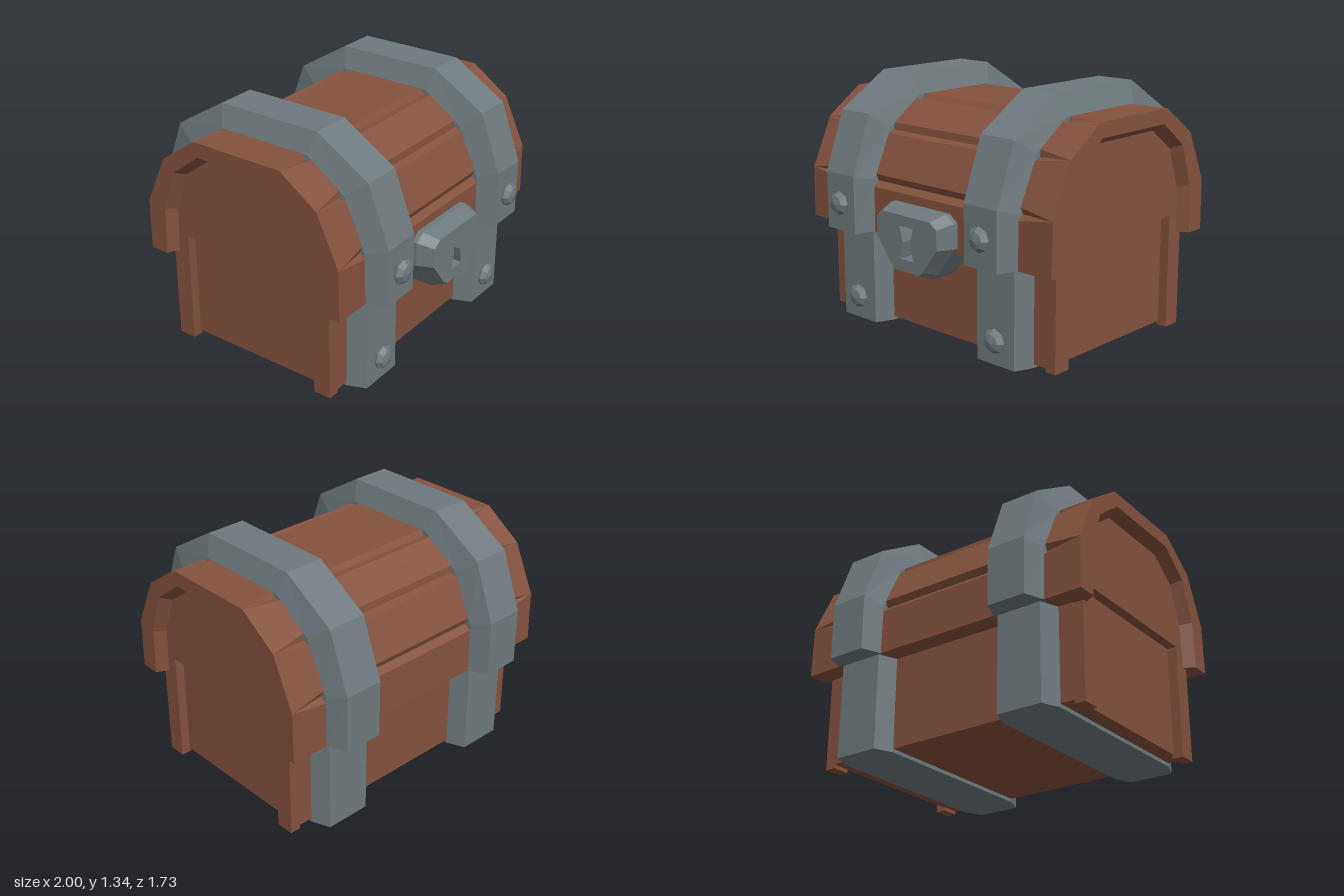
import * as THREE from 'three';

const wood = new THREE.MeshStandardMaterial({ color: 0x85523f });
wood.name = 'wood';
const metal = new THREE.MeshStandardMaterial({ color: 0x6f7a7e });
metal.name = 'iron';

// Half profiles as [z, y], from the front foot up to the crown
const LID = [[0.615, 0.52], [0.61, 0.8], [0.485, 1.07], [0.27, 1.22]];
const MOUTH = [[0.51, 0.52], [0.5, 0.78], [0.42, 1.01], [0.25, 1.14]];
const RECESS = [[0.475, 0.52], [0.465, 0.77], [0.39, 0.985], [0.235, 1.1]];
const STRAP = [[0.72, 0.52], [0.72, 0.83], [0.6, 1.15], [0.3, 1.335]];

// Full arch from a half profile; every corner becomes three points, split by a groove of width w
function arch(half, w = 0) {
  const mirror = half.map(([z, y]) => [-z, y]).reverse();
  const all = [...half, ...mirror];
  const toward = (a, b, d) => {
    const l = Math.hypot(b[0] - a[0], b[1] - a[1]);
    return [a[0] + (b[0] - a[0]) * d / l, a[1] + (b[1] - a[1]) * d / l];
  };
  return all.flatMap((p, i) => i === 0 || i === all.length - 1 ? [p]
    : [toward(p, all[i - 1], w), toward(p, [0, 0.7], w * 0.9), toward(p, all[i + 1], w)]);
}

// Arched shell: sections of [x, outer arch, inner arch] joined along x, with capped ends
function shell(sections) {
  const loops = sections.map(([x, outer, inner]) =>
    [...outer, ...[...inner].reverse()].map(([z, y]) => [x, y, z]));
  const pos = [];
  const quad = (a, b, c, d) => pos.push(...a, ...b, ...c, ...a, ...c, ...d);
  const m = loops[0].length;
  for (let k = 0; k < loops.length - 1; k++) {
    for (let i = 0; i < m; i++) {
      const j = (i + 1) % m;
      quad(loops[k][i], loops[k + 1][i], loops[k + 1][j], loops[k][j]);
    }
  }
  const first = loops[0], last = loops[loops.length - 1];
  for (let i = 0; i < m / 2 - 1; i++) {
    quad(first[i], first[i + 1], first[m - 2 - i], first[m - 1 - i]);
    quad(last[i], last[m - 1 - i], last[m - 2 - i], last[i + 1]);
  }
  const g = new THREE.BufferGeometry();
  g.setAttribute('position', new THREE.Float32BufferAttribute(pos, 3));
  g.computeVertexNormals();
  return g;
}

const shapeOf = pts => new THREE.Shape(pts.map(([x, y]) => new THREE.Vector2(x, y)));
const extrude = (shape, depth) => new THREE.ExtrudeGeometry(shape, { depth, bevelEnabled: false });

export function createModel() {
  const model = new THREE.Group();
  model.name = 'treasureChest';
  const chest = new THREE.Group();
  chest.name = 'chest';
  chest.rotation.y = 0.252;
  chest.position.z = -0.01;
  model.add(chest);

  const add = (name, geo, mat, x = 0, y = 0, z = 0) => {
    const mesh = new THREE.Mesh(geo, mat);
    mesh.name = name;
    mesh.position.set(x, y, z);
    chest.add(mesh);
    return mesh;
  };

  // Box body
  add('body', new THREE.BoxGeometry(1.52, 0.66, 1.02), wood, 0, 0.35, 0);

  // End frames: two corner posts below and the arched panel above, around a sunken panel
  const side = [[0.41, 0.62], [0.41, 0], [0.51, 0], [0.51, 0.515], [0.48, 0.53], [0.47, 0.775], [0.395, 0.99], [0.24, 1.105]];
  const frame = extrude(shapeOf([...side, ...side.map(([z, y]) => [-z, y]).reverse()]), 0.06);
  for (const s of [-1, 1]) {
    const end = add(s > 0 ? 'leftEndFrame' : 'rightEndFrame', frame, wood, s * 0.752, 0, 0);
    end.rotation.y = s * Math.PI / 2;
  }

  // Planked lid: grooves fade out towards the ends, which are hollowed with a sloped rim
  const plain = arch(LID), grooved = arch(LID, 0.035), mouth = arch(MOUTH), recess = arch(RECESS);
  add('lid', shell([
    [-0.872, plain, mouth], [-0.81, arch(LID, 0.01), recess], [-0.65, grooved, recess],
    [0.65, grooved, recess], [0.81, arch(LID, 0.01), recess], [0.872, plain, mouth],
  ]), wood);

  // Iron straps over the lid and around the body, with rivets on the front
  const band = arch(STRAP);
  const lidStrap = shell([
    [-0.148, plain, mouth], [-0.108, band, mouth], [0.108, band, mouth], [0.148, plain, mouth],
  ]);
  const bodyStrap = extrude(shapeOf([
    [-0.125, -0.61], [0.125, -0.61], [0.165, -0.51], [0.165, 0.51],
    [0.125, 0.61], [-0.125, 0.61], [-0.165, 0.51], [-0.165, -0.51],
  ]), 0.525).rotateX(-Math.PI / 2);
  const rivet = new THREE.LatheGeometry(
    [[0.05, -0.02], [0.066, 0.012], [0.045, 0.038], [0, 0.048]].map(p => new THREE.Vector2(...p)), 8,
  ).rotateX(Math.PI / 2).toNonIndexed();
  rivet.computeVertexNormals();
  for (const s of [-1, 1]) {
    const label = s > 0 ? 'left' : 'right';
    add(label + 'LidStrap', lidStrap, metal, s * 0.514, 0, 0);
    add(label + 'BodyStrap', bodyStrap, metal, s * 0.51, 0, 0);
    add(label + 'UpperRivet', rivet, metal, s * 0.514, 0.672, 0.72);
    add(label + 'LowerRivet', rivet, metal, s * 0.51, 0.128, 0.61);
  }

  // Lock: a solid back and a tapered front plate pierced by the keyhole
  const half = [[0.1, 0.36], [0.14, 0.39], [0.255, 0.55], [0.255, 0.68], [0.2, 0.72]];
  const outline = [...half, ...half.map(([x, y]) => [-x, y]).reverse()];
  add('lockBack', extrude(shapeOf(outline), 0.14), metal, 0, 0, 0.5);
  const face = shapeOf(outline);
  face.holes.push(shapeOf([
    [-0.05, 0.635], [0.05, 0.635], [0.028, 0.55], [0.05, 0.46], [-0.05, 0.46], [-0.028, 0.55],
  ]));
  const plate = extrude(face, 0.085);
  const p = plate.attributes.position;
  for (let i = 0; i < p.count; i++) {
    const x = p.getX(i), y = p.getY(i);
    const keyhole = Math.abs(x) < 0.06 && y > 0.45 && y < 0.65;
    if (p.getZ(i) > 0.05 && !keyhole) p.setXY(i, x * 0.86, 0.56 + (y - 0.56) * 0.82);
  }
  plate.computeVertexNormals();
  add('lockFace', plate, metal, 0, 0, 0.64);

  return model;
}
